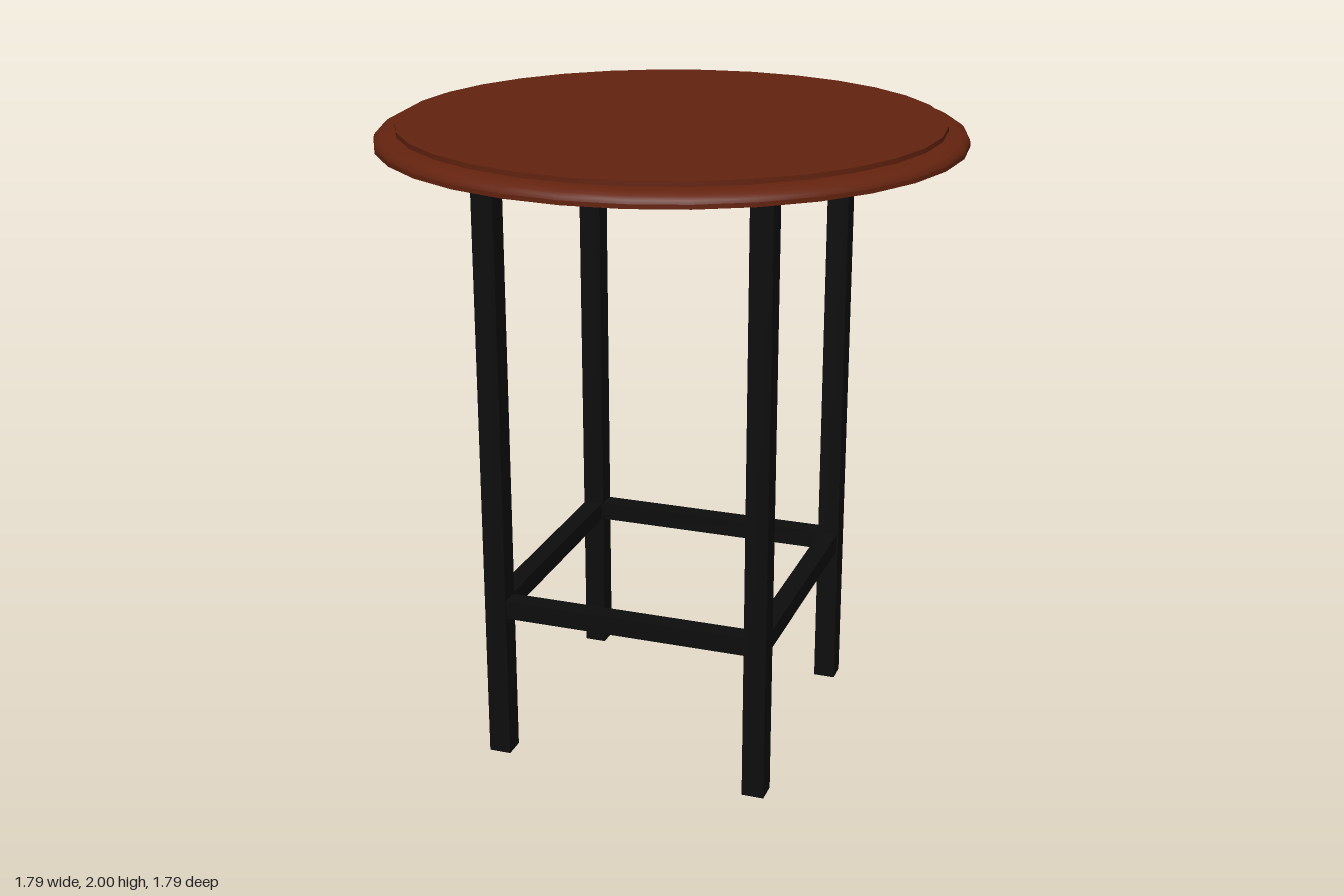
import * as THREE from 'three';

export function createModel() {
  const model = new THREE.Group();
  const wood = new THREE.MeshStandardMaterial({ color: 0x64230f });
  wood.name = 'reddish brown wood';
  const metal = new THREE.MeshStandardMaterial({ color: 0x0d0d0d });
  metal.name = 'black metal';

  const add = (name, geometry, material, x = 0, y = 0, z = 0) => {
    const mesh = new THREE.Mesh(geometry, material);
    mesh.name = name;
    mesh.position.set(x, y, z);
    model.add(mesh);
    return mesh;
  };
  const lathe = (points) =>
    new THREE.LatheGeometry(points.map(([r, y]) => new THREE.Vector2(r, y)), 32);

  // Round top: flat faces, straight edges and a rounded moulding between them
  const R = 0.895, r = 0.83, bottom = 1.94, step = 1.985;
  const moulding = [];
  for (let i = 0; i <= 5; i++) {
    const a = (i / 5) * Math.PI / 2;
    moulding.push([r + (R - r) * Math.cos(a), 1.953 + (step - 1.953) * Math.sin(a)]);
  }
  add('tabletopUnderside', lathe([[0, bottom], [R, bottom]]), wood);
  add('tabletopEdge', lathe([[R, bottom], [R, 1.953]]), wood);
  add('tabletopMoulding', lathe(moulding), wood);
  add('tabletopStep', lathe([[r, step], [r, 2]]), wood);
  add('tabletopSurface', lathe([[r, 2], [0, 2]]), wood);

  // Flat square frame under the top
  const square = (h) => [[-h, -h], [h, -h], [h, h], [-h, h]].map(([x, y]) => new THREE.Vector2(x, y));
  const frame = new THREE.Shape(square(0.5));
  frame.holes.push(new THREE.Path(square(0.36).reverse()));
  const frameGeometry = new THREE.ExtrudeGeometry(frame, { depth: 0.03, bevelEnabled: false });
  frameGeometry.rotateX(-Math.PI / 2);
  add('topFrame', frameGeometry, metal, 0, 1.91, 0);

  // Square legs at the corners
  const leg = 0.07, c = 0.425;
  const legGeometry = new THREE.BoxGeometry(leg, 1.91, leg);
  for (const x of [-1, 1]) {
    for (const z of [-1, 1]) {
      add(`${z > 0 ? 'front' : 'back'}${x > 0 ? 'Left' : 'Right'}Leg`, legGeometry, metal, x * c, 0.955, z * c);
    }
  }

  // Stretchers joining neighbouring legs
  const span = 2 * c - leg;
  for (const s of [-1, 1]) {
    add(s > 0 ? 'frontStretcher' : 'backStretcher',
      new THREE.BoxGeometry(span, 0.06, 0.06), metal, 0, 0.507, s * c);
    add(s > 0 ? 'leftStretcher' : 'rightStretcher',
      new THREE.BoxGeometry(0.06, 0.06, span), metal, s * c, 0.507, 0);
  }
  return model;
}
